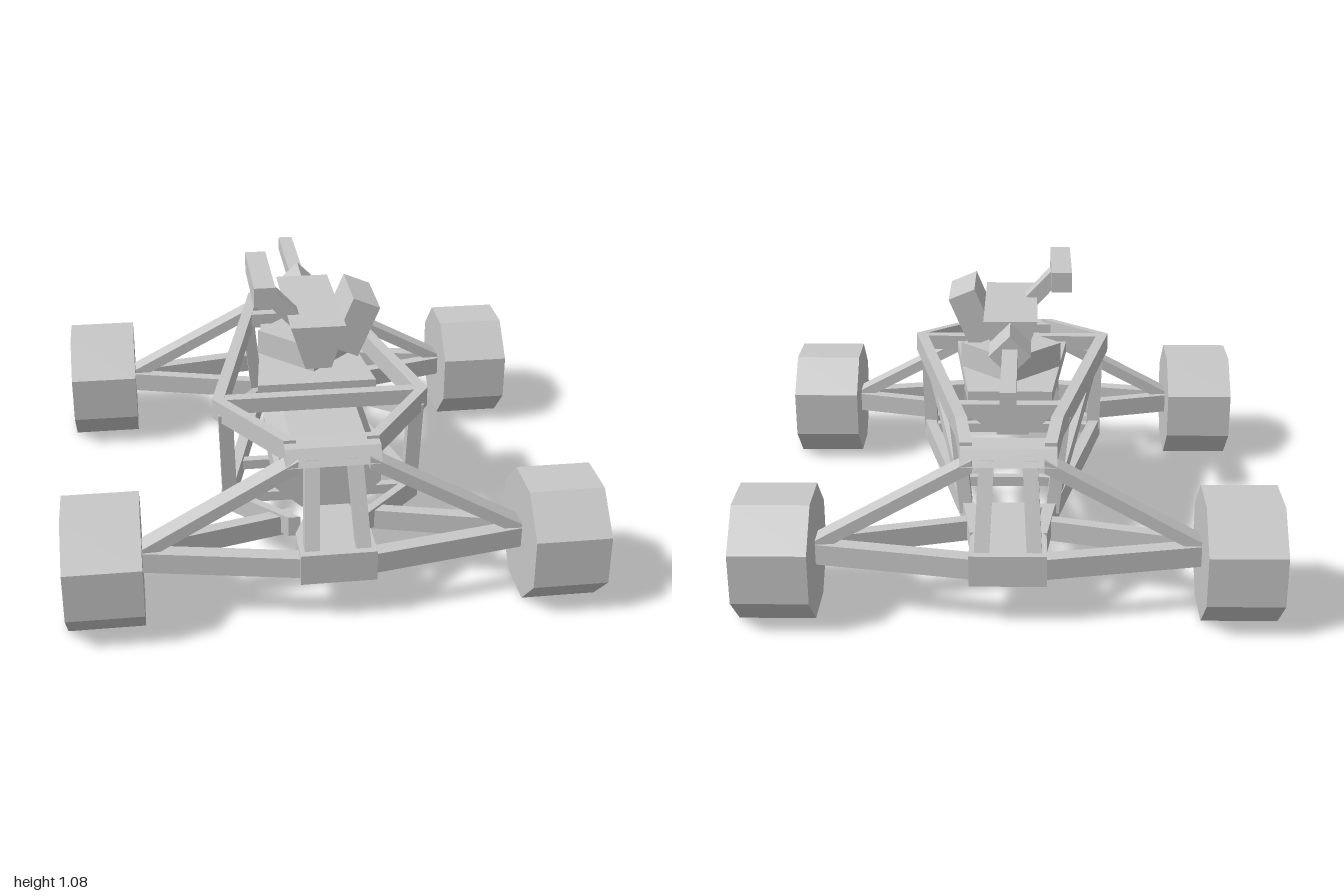
import * as THREE from 'three';

const grey = new THREE.MeshStandardMaterial({ color: 0xc8c8c8 });
grey.name = 'light grey';

export function createModel() {
  const model = new THREE.Group();
  model.name = 'turretBuggy';

  function add(name, geometry, x = 0, y = 0, z = 0) {
    // split the corners so every face is flat
    const g = geometry.index ? geometry.toNonIndexed() : geometry;
    g.computeVertexNormals();
    const mesh = new THREE.Mesh(g, grey);
    mesh.name = name;
    mesh.position.set(x, y, z);
    model.add(mesh);
    return mesh;
  }
  const box = (name, w, h, d, x, y, z) => add(name, new THREE.BoxGeometry(w, h, d), x, y, z);

  // Bar from a to b whose end faces are spanned by u and v, so bars meet in mitres
  function bar(name, a, b, u, v) {
    let A = new THREE.Vector3(...a), B = new THREE.Vector3(...b);
    const U = new THREE.Vector3(...u), V = new THREE.Vector3(...v);
    if (U.clone().cross(V).dot(B.clone().sub(A)) < 0) [A, B] = [B, A];
    const g = new THREE.BoxGeometry(1, 1, 1), p = g.attributes.position;
    for (let i = 0; i < p.count; i++) {
      const q = A.clone().lerp(B, p.getZ(i) + 0.5).addScaledVector(U, p.getX(i)).addScaledVector(V, p.getY(i));
      p.setXYZ(i, q.x, q.y, q.z);
    }
    return add(name, g);
  }

  // Polygon swept along z, centred on z = 0
  function prism(points, depth) {
    const shape = new THREE.Shape(points.map(([x, y]) => new THREE.Vector2(x, y)));
    return new THREE.ExtrudeGeometry(shape, { depth, bevelEnabled: false }).translate(0, 0, -depth / 2);
  }
  const mirrored = half => [...half, ...half.slice().reverse().map(([x, y]) => [-x, y])];

  // Wheels and suspension
  for (const s of [1, -1]) {
    for (const e of [1, -1]) {
      const wheel = new THREE.CylinderGeometry(0.2475, 0.2475, 0.28, 8).rotateY(Math.PI / 8).rotateZ(Math.PI / 2);
      add('wheel', wheel, s * 0.842, 0.23, e * 0.772);
      bar('lowerArmOuter', [s * 0.71, 0.23, e * 0.775], [s * 0.12, 0.23, e * 0.885], [0, 0, 0.06], [0, 0.08, 0]);
      bar('lowerArmInner', [s * 0.71, 0.23, e * 0.73], [s * 0.13, 0.23, e * 0.575], [0, 0, 0.05], [0, 0.08, 0]);
      bar('upperArm', [s * 0.71, 0.255, e * 0.76], [s * 0.13, 0.57, e * 0.735], [0, 0, 0.085], [0, 0.05, 0]);
      // leg between the end plate and the nose block
      bar('endLeg', [s * 0.078, 0.59, e * 0.735], [s * 0.095, 0.27, e * 0.865], [0.055, 0, 0], [0, 0, 0.06]);
    }
  }

  // Low nose blocks and slanted end plates, the same front and rear
  for (const e of [1, -1]) {
    const plan = mirrored([[0.07, e * 0.475], [0.1, e * 0.66], [0.14, e * 0.76], [0.14, e * 0.918]]);
    add('noseBlock', prism(plan, 0.12).rotateX(Math.PI / 2), 0, 0.225, 0);
    const profile = [[e * 0.65, 0.63], [e * 0.74, 0.626], [e * 0.78, 0.567], [e * 0.65, 0.567]];
    add('endPlate', prism(profile, 0.35).rotateY(-Math.PI / 2));
  }

  // Space frame: upper and lower rails, pillars and side diagonals
  const W = [0.045, 0, 0], H = [0, 0.08, 0];
  for (const s of [1, -1]) {
    const upper = [[0.152, 0.6, 0.7], [0.39, 0.634, 0.4], [0.178, 0.634, -0.555], [0.153, 0.6, -0.72]];
    const lower = [[0.13, 0.24, 0.64], [0.365, 0.24, 0.4], [0.15, 0.24, -0.5], [0.12, 0.24, -0.72]];
    for (const [name, path] of [['upperRail', upper], ['lowerRail', lower]])
      for (let i = 0; i < 3; i++) {
        const [a, b] = [path[i], path[i + 1]].map(([x, y, z]) => [s * x, y, z]);
        bar(name, a, b, W, H);
      }
    bar('frontPillar', [s * 0.365, 0.62, 0.415], [s * 0.355, 0.24, 0.39], [0.055, 0, 0], [0, 0, 0.05]);
    bar('rearPillar', [s * 0.205, 0.62, -0.41], [s * 0.165, 0.24, -0.45], [0.05, 0, 0], [0, 0, 0.05]);
    bar('sideDiagonal', [s * 0.355, 0.58, 0.39], [s * 0.165, 0.27, -0.44], [0.04, 0, 0], [0, 0.06, 0]);
  }
  box('upperCrossbar', 0.78, 0.06, 0.045, 0, 0.642, 0.388);
  box('upperCrossbar', 0.42, 0.06, 0.045, 0, 0.642, -0.41);
  for (const [z, w] of [[0.39, 0.7], [0.13, 0.6], [-0.17, 0.44], [-0.45, 0.3]])
    box('floorCrossbar', w, 0.04, 0.035, 0, 0.24, z);

  // Cab under the turret deck
  const cab = mirrored([[0.1, 0.31], [0.2, 0.4], [0.2, 0.49], [0.14, 0.6]]);
  add('cab', prism(cab, 0.43), 0, 0, 0.4);

  // Deck plate and diamond turret base
  const deck = mirrored([[0.163, -0.29], [0.23, 0.3]]);
  add('turretDeck', prism(deck, 0.05).rotateX(Math.PI / 2), 0, 0.645, 0);
  add('turretBase', new THREE.CylinderGeometry(0.2, 0.2, 0.1, 4), 0, 0.72, 0);

  // Gun: wedge housing, diamond mantlet, square barrel pointing to the rear
  add('gunHousing', prism(mirrored([[0.05, 0.75], [0.105, 0.92]]), 0.53), 0, 0, 0.075);
  add('gunMantlet', new THREE.CylinderGeometry(0.08, 0.08, 0.19, 4).rotateX(Math.PI / 2), 0, 0.837, -0.26);
  box('gunBarrel', 0.058, 0.058, 0.46, 0, 0.836, -0.575);

  // Leaning ammunition box on the left, sight on a strut on the right
  box('ammoBox', 0.112, 0.215, 0.26, 0.155, 0.873, 0.125).rotation.z = -0.4;
  box('sight', 0.08, 0.08, 0.385, -0.2, 1.04, 0.128);
  bar('sightStrut', [-0.2, 1.03, 0.17], [-0.06, 0.88, 0.17], [0.04, 0.04, 0], [0, 0, 0.08]);

  return model;
}
